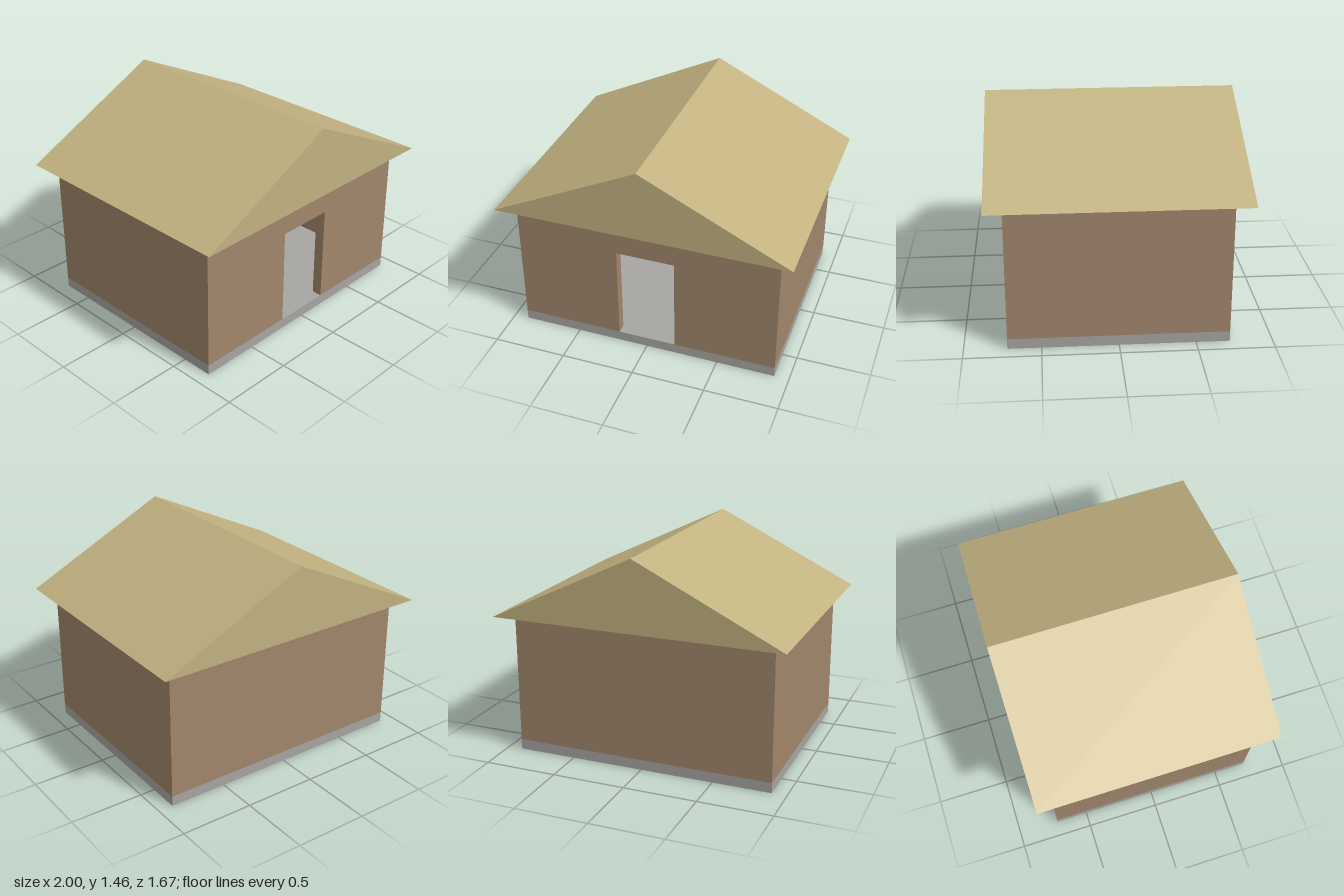
import * as THREE from 'three';

const W = 0.9, D = 0.72;            // half width and half depth of the house
const BASE = 0.07, EAVE = 0.975, RIDGE = 1.46;
const T = 0.07;                     // wall thickness
const DOOR_W = 0.2, DOOR_TOP = 0.74;

const polygon = (pts) => new THREE.Shape(pts.map(([x, y]) => new THREE.Vector2(x, y)));
const extrude = (shape, depth) => new THREE.ExtrudeGeometry(shape, { depth, bevelEnabled: false });

export function createModel() {
  const house = new THREE.Group();
  house.name = 'house';

  const wallMat = new THREE.MeshStandardMaterial({ color: 0xa0866c });
  wallMat.name = 'brown wall';
  const roofMat = new THREE.MeshStandardMaterial({ color: 0xc2b280 });
  roofMat.name = 'straw roof';
  const stoneMat = new THREE.MeshStandardMaterial({ color: 0xa7a5a1 });
  stoneMat.name = 'grey foundation';

  const add = (name, geometry, material, x, y, z) => {
    const mesh = new THREE.Mesh(geometry, material);
    mesh.name = name;
    mesh.position.set(x, y, z);
    house.add(mesh);
  };

  // Foundation slab, whose top is the floor
  add('foundation', new THREE.BoxGeometry(2 * W, BASE, 2 * D), stoneMat, 0, BASE / 2, 0);

  // Side walls and back wall
  const h = EAVE - BASE, midY = BASE + h / 2;
  for (const [name, s] of [['leftWall', 1], ['rightWall', -1]]) {
    add(name, new THREE.BoxGeometry(T, h, 2 * D), wallMat, s * (W - T / 2), midY, 0);
  }
  const inner = W - T;
  add('backWall', new THREE.BoxGeometry(2 * inner, h, T), wallMat, 0, midY, -D + T / 2);

  // Front wall with an open doorway down to the floor
  const front = polygon([
    [-inner, BASE], [-DOOR_W, BASE], [-DOOR_W, DOOR_TOP], [DOOR_W, DOOR_TOP],
    [DOOR_W, BASE], [inner, BASE], [inner, EAVE], [-inner, EAVE],
  ]);
  add('frontWall', extrude(front, T), wallMat, 0, 0, D - T);

  // Solid gabled roof overhanging on all sides
  const roofDepth = 1.67;
  const gable = polygon([[-1, EAVE], [1, EAVE], [0, RIDGE]]);
  add('roof', extrude(gable, roofDepth), roofMat, 0, 0, -roofDepth / 2);

  return house;
}
